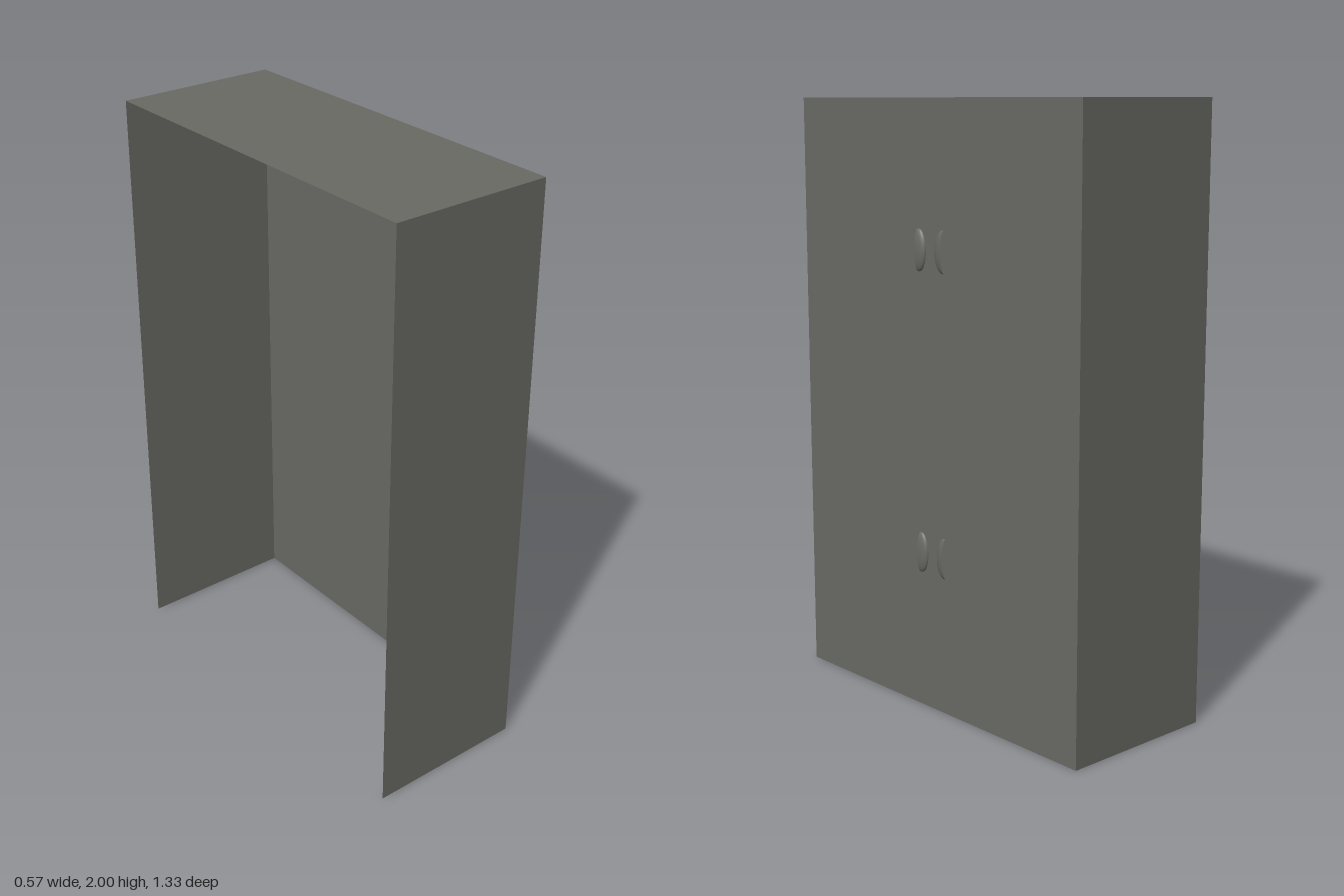
import * as THREE from 'three';

const FRONT = 0.27, BACK = -0.285, HALF_W = 0.664, HEIGHT = 2;

// Curved shell pull: a quarter dome that rises from the door and opens outward
function pullGeometry() {
  const halfH = 0.068, reach = 0.034, rise = 0.0145, lip = 0.006;
  const rows = 16, cols = 6, stride = cols + 2;
  const pos = [], index = [];
  for (let i = 0; i <= rows; i++) {
    const a = -Math.PI / 2 + (Math.PI * i) / rows;
    const r = Math.cos(a);
    for (let j = 0; j <= cols; j++) {
      const s = (j / cols) * Math.PI / 2;
      pos.push(rise * r * Math.sin(s), halfH * Math.sin(a), -reach * r * Math.cos(s));
    }
    pos.push(rise * r, halfH * Math.sin(a), lip); // flat lip along the open edge
  }
  for (let i = 0; i < rows; i++) {
    for (let j = 0; j < stride - 1; j++) {
      const p = i * stride + j, q = p + stride;
      index.push(p, p + 1, q, p + 1, q + 1, q);
    }
  }
  const geo = new THREE.BufferGeometry();
  geo.setAttribute('position', new THREE.Float32BufferAttribute(pos, 3));
  geo.setIndex(index);
  geo.computeVertexNormals();
  return geo;
}

export function createModel() {
  const model = new THREE.Group();
  model.name = 'cabinet';
  const grey = new THREE.MeshStandardMaterial({ color: 0x6a6a65, side: THREE.DoubleSide });
  grey.name = 'grey';

  // Thin sheet panel placed with a rotation
  const panel = (name, w, h, position, rotation) => {
    const mesh = new THREE.Mesh(new THREE.PlaneGeometry(w, h), grey);
    mesh.name = name;
    mesh.position.set(...position);
    mesh.rotation.set(...rotation);
    model.add(mesh);
  };

  // Carcass, open at the back and underneath
  const depth = FRONT - BACK, midX = (FRONT + BACK) / 2, midY = HEIGHT / 2;
  panel('doorPanel', HALF_W * 2, HEIGHT, [FRONT, midY, 0], [0, Math.PI / 2, 0]);
  panel('topPanel', depth, HALF_W * 2, [midX, HEIGHT, 0], [-Math.PI / 2, 0, 0]);
  panel('sidePanelNear', depth, HEIGHT, [midX, midY, HALF_W], [0, 0, 0]);
  panel('sidePanelFar', depth, HEIGHT, [midX, midY, -HALF_W], [0, Math.PI, 0]);

  // Two mirrored pairs of door pulls
  const pull = pullGeometry();
  const mirrored = pull.clone().rotateX(Math.PI);
  for (const y of [0.53, 1.525]) {
    for (const side of [1, -1]) {
      const mesh = new THREE.Mesh(side > 0 ? pull : mirrored, grey);
      mesh.name = 'doorPull';
      mesh.position.set(FRONT, y, side * 0.057);
      model.add(mesh);
    }
  }
  return model;
}
